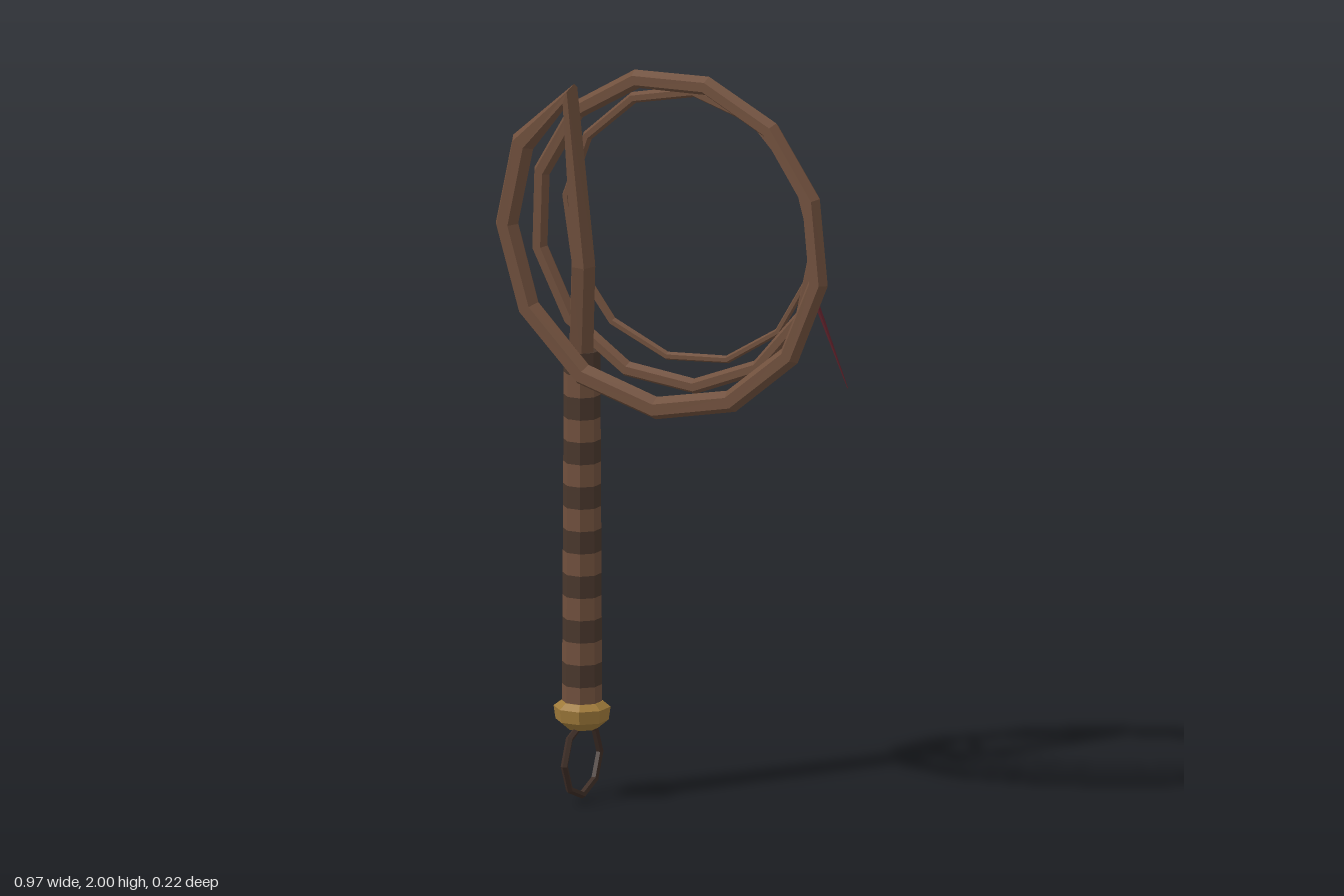
import * as THREE from 'three';

const material = (name, color) => {
  const m = new THREE.MeshStandardMaterial({ color, flatShading: true });
  m.name = name;
  return m;
};

// Tapered six-sided tube through a list of points, closed at both ends.
function sweep(points, radii, sides = 6) {
  const pos = [], idx = [], last = points.length - 1;
  const zAxis = new THREE.Vector3(0, 0, 1);
  points.forEach((p, i) => {
    const t = new THREE.Vector3();
    if (i > 0) t.add(p.clone().sub(points[i - 1]).normalize());
    if (i < last) t.add(points[i + 1].clone().sub(p).normalize());
    t.normalize();
    const n = t.clone().cross(zAxis).normalize();
    const b = t.clone().cross(n);
    for (let j = 0; j < sides; j++) {
      const a = (j / sides) * Math.PI * 2;
      const v = p.clone().addScaledVector(n, Math.cos(a) * radii[i]).addScaledVector(b, Math.sin(a) * radii[i]);
      pos.push(v.x, v.y, v.z);
    }
  });
  for (let i = 0; i < last; i++) {
    for (let j = 0; j < sides; j++) {
      const k = (j + 1) % sides;
      const a = i * sides + j, b = i * sides + k;
      idx.push(a, b, a + sides, b, b + sides, a + sides);
    }
  }
  for (let j = 1; j < sides - 1; j++) {
    const e = last * sides;
    idx.push(0, j + 1, j, e, e + j, e + j + 1);
  }
  const g = new THREE.BufferGeometry();
  g.setAttribute('position', new THREE.Float32BufferAttribute(pos, 3));
  g.setIndex(idx);
  g.computeVertexNormals();
  return g;
}

export function createModel() {
  const brown = material('brown leather', 0x70503d);
  const dark = material('dark leather', 0x49372c);
  const brass = material('brass', 0x9f7a3a);
  const iron = material('dark ring', 0x3d2d26);
  const red = material('dark red', 0x5a1f28);

  const group = new THREE.Group();
  group.name = 'coiledWhip';
  const add = (name, geometry, mat, parent = group) => {
    const mesh = new THREE.Mesh(geometry, mat);
    mesh.name = name;
    parent.add(mesh);
    return mesh;
  };

  // Handle: alternating leather bands, with the pommel and ring below
  const handle = new THREE.Group();
  handle.name = 'handle';
  handle.position.set(-0.27, 0, -0.005);
  group.add(handle);
  const bands = 16, y0 = 0.25, step = 0.06;
  const radiusAt = (i) => 0.053 - 0.005 * (i / bands);
  for (let i = 0; i < bands; i++) {
    const open = i > 0 && i < bands - 1;
    const band = add('handleBand', new THREE.CylinderGeometry(radiusAt(i + 1), radiusAt(i), step, 8, 1, open), i % 2 ? dark : brown, handle);
    band.position.y = y0 + step * (i + 0.5);
    band.rotation.y = Math.PI / 8;
  }
  const profile = [[0, 0.19], [0.042, 0.192], [0.07, 0.215], [0.075, 0.25], [0.055, 0.265], [0, 0.265]];
  const pommel = add('pommel', new THREE.LatheGeometry(profile.map(([x, y]) => new THREE.Vector2(x, y)), 8), brass, handle);
  pommel.rotation.y = Math.PI / 8;
  const ring = add('hangingRing', new THREE.TorusGeometry(0.097, 0.01, 5, 8), iron, handle);
  ring.rotation.y = Math.PI / 2;
  ring.position.y = 0.107;

  // Thong: rises from the handle, folds over, then coils inward and backward
  const points = [
    new THREE.Vector3(-0.27, 1.19, 0),
    new THREE.Vector3(-0.228, 1.46, 0.065),
    new THREE.Vector3(-0.26, 1.915, 0.08),
  ];
  const turns = 32;
  for (let i = 0; i <= turns; i++) {
    const f = i / turns;
    const a = THREE.MathUtils.degToRad(152 + 911 * f);
    const r = 0.472 - 0.125 * f;
    points.push(new THREE.Vector3(0.015 + r * Math.cos(a), 1.55 + r * Math.sin(a), 0.075 - 0.182 * f));
  }
  const radii = points.map((_, i) => 0.036 - 0.027 * (i / (points.length - 1)));
  add('thong', sweep(points, radii), brown);

  // Cracker: thin tip hanging from the end of the thong
  const end = points[points.length - 1];
  add('cracker', sweep([end, new THREE.Vector3(0.465, 1.17, -0.107)], [0.009, 0.001]), red);

  return group;
}
